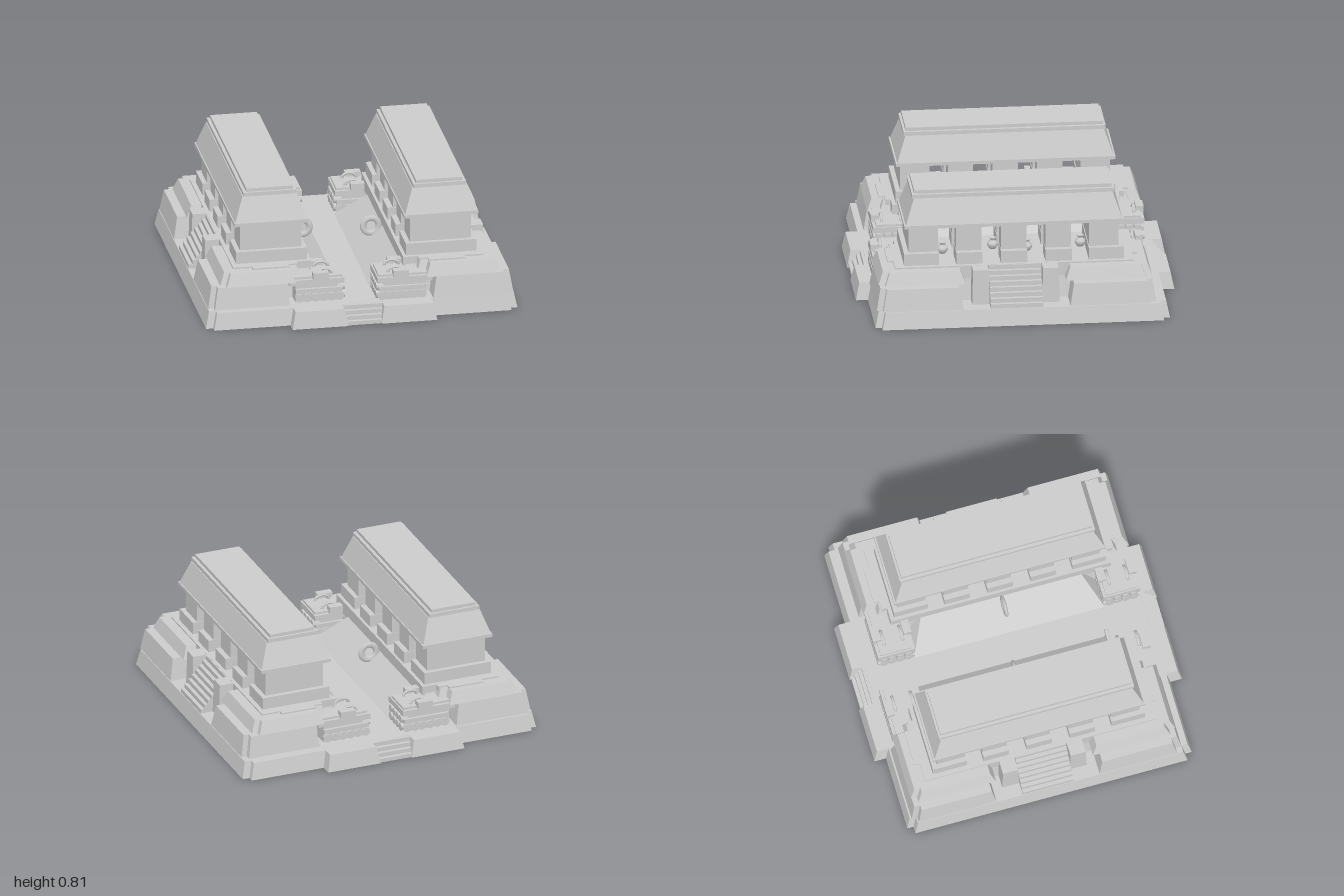
import * as THREE from 'three';
import { ConvexGeometry } from 'three/addons/geometries/ConvexGeometry.js';

const stone = new THREE.MeshStandardMaterial({ color: 0xcccccc, flatShading: true, side: THREE.DoubleSide });
const smooth = new THREE.MeshStandardMaterial({ color: 0xcccccc, side: THREE.DoubleSide });

function add(parent, name, geometry, material = stone) {
  const m = new THREE.Mesh(geometry, material);
  m.name = name;
  parent.add(m);
  return m;
}

// Box given by its extents on each axis
function box(parent, name, x0, x1, y0, y1, z0, z1) {
  const m = add(parent, name, new THREE.BoxGeometry(x1 - x0, y1 - y0, z1 - z0));
  m.position.set((x0 + x1) / 2, (y0 + y1) / 2, (z0 + z1) / 2);
}

function group(parent, name, x = 0, z = 0) {
  const g = new THREE.Group();
  g.name = name;
  g.position.set(x, 0, z);
  parent.add(g);
  return g;
}

// Move every edge of a plan inward by d, with mitred corners
function inset(pts, d) {
  const n = pts.length;
  return pts.map((p, i) => {
    const a = p.clone().sub(pts[(i + n - 1) % n]).normalize();
    const b = pts[(i + 1) % n].clone().sub(p).normalize();
    const na = new THREE.Vector2(-a.y, a.x), nb = new THREE.Vector2(-b.y, b.x);
    return na.clone().add(nb).multiplyScalar(d / (1 + na.dot(nb))).add(p);
  });
}

// Tapered storey over an [x, z] plan; the underside may stay open
function storey(parent, name, plan, y0, y1, taper, closed = true) {
  const low = plan.map(p => new THREE.Vector2(p[0], p[1]));
  if (THREE.ShapeUtils.area(low) < 0) low.reverse();
  const high = inset(low, taper), pos = [];
  const put = (p, y) => pos.push(p.x, y, p.y);
  low.forEach((p, i) => {
    const j = (i + 1) % low.length;
    put(p, y0); put(high[i], y1); put(high[j], y1);
    put(p, y0); put(high[j], y1); put(low[j], y0);
  });
  for (const [a, b, c] of THREE.ShapeUtils.triangulateShape(high, [])) {
    put(high[a], y1); put(high[c], y1); put(high[b], y1);
  }
  if (closed) for (const [a, b, c] of THREE.ShapeUtils.triangulateShape(low, [])) {
    put(low[a], y0); put(low[b], y0); put(low[c], y0);
  }
  const g = new THREE.BufferGeometry();
  g.setAttribute('position', new THREE.Float32BufferAttribute(pos, 3));
  g.computeVertexNormals();
  add(parent, name, g);
}

const rect = (hx, hz) => [[-hx, -hz], [hx, -hz], [hx, hz], [-hx, hz]];
// Complete a plan from its +z half
const mirrorZ = half => [...half, ...half.map(([x, z]) => [x, -z]).reverse()];

// Carved head at the end of the sloping bench, snout toward +x
function carvedHead(parent, z) {
  const head = group(parent, 'carvedHead', 0, z);
  box(head, 'headCore', -0.41, -0.14, 0.11, 0.23, -0.1, 0.1);
  box(head, 'upperJaw', -0.45, -0.1, 0.225, 0.262, -0.12, 0.12);
  box(head, 'brow', -0.43, -0.11, 0.262, 0.276, -0.1, 0.1);
  for (const s of [-1, 1]) {
    // Scalloped lower jaw
    for (let i = 0; i < 6; i++) {
      const c = add(head, 'jawScale', new THREE.CylinderGeometry(0.028, 0.028, 0.04, 10));
      c.rotation.x = Math.PI / 2;
      c.position.set(-0.385 + i * 0.051, 0.14, s * 0.1);
    }
    box(head, 'lip', -0.41, -0.11, 0.17, 0.2, s * 0.1 - 0.018, s * 0.1 + 0.018);
    box(head, 'crest', -0.3, -0.2, 0.26, 0.305, s * 0.1 - 0.025, s * 0.1 + 0.025);
    const arch = add(head, 'browArch', new THREE.TorusGeometry(0.045, 0.011, 6, 10, Math.PI), smooth);
    arch.scale.y = 0.7;
    arch.position.set(-0.22, 0.276, s * 0.06);
  }
  // Teeth across the snout
  for (let row = 0; row < 2; row++) for (let i = 0; i < 4; i++) {
    const t = add(head, 'tooth', new THREE.CylinderGeometry(0.025, 0.025, 0.05, 10));
    t.rotation.z = Math.PI / 2;
    t.position.set(-0.12, 0.14 + row * 0.055, -0.08 + i * 0.053);
  }
}

// Roofed gallery, centred on its own origin
function gallery(parent) {
  const g = group(parent, 'gallery', -0.535);
  for (const s of [-1, 1]) {
    const z = (a, b) => s > 0 ? [a, b] : [-b, -a];
    box(g, 'endBase', -0.225, 0.225, 0.335, 0.415, ...z(0.47, 0.69));
    box(g, 'endWall', -0.195, 0.195, 0.415, 0.59, ...z(0.475, 0.66));
    for (const c of [-0.28, 0, 0.28]) {
      const x0 = s > 0 ? 0.075 : -0.195;
      box(g, 'pier', x0, x0 + 0.12, 0.335, 0.59, c - 0.08, c + 0.08);
      const b0 = s > 0 ? 0.065 : -0.23;
      box(g, 'pierBase', b0, b0 + 0.165, 0.335, 0.415, c - 0.083, c + 0.083);
    }
  }
  storey(g, 'lowerCornice', rect(0.235, 0.69), 0.585, 0.607, 0);
  storey(g, 'slopedRoof', rect(0.228, 0.68), 0.607, 0.765, 0.055);
  storey(g, 'upperCornice', rect(0.168, 0.635), 0.765, 0.79, 0);
  storey(g, 'roofCap', rect(0.148, 0.62), 0.79, 0.812, 0);

  // Jars standing between the piers
  const profile = [[0, 0], [0.02, 0], [0.035, 0.025], [0.032, 0.042], [0.016, 0.055],
    [0.016, 0.063], [0.024, 0.072]].map(p => new THREE.Vector2(...p));
  for (const [x, z] of [[0.02, 0.44], [-0.02, 0.1], [0.03, -0.11], [-0.02, -0.43]]) {
    add(g, 'jar', new THREE.LatheGeometry(profile, 14), smooth).position.set(x, 0.335, z);
  }
}

// Stepped mound with the outer stairway
function mound(parent) {
  const g = group(parent, 'mound');
  storey(g, 'lowerTier', mirrorZ([[-0.8, 0.335], [-0.965, 0.335], [-0.965, 0.84], [-0.93, 0.84],
    [-0.93, 0.878], [-0.45, 0.878], [-0.45, 0.74], [-0.28, 0.74]]), 0.11, 0.25, 0.024);
  storey(g, 'upperTier', mirrorZ([[-0.77, 0.315], [-0.885, 0.315], [-0.885, 0.82], [-0.85, 0.82],
    [-0.85, 0.86], [-0.41, 0.86], [-0.41, 0.79], [-0.36, 0.79], [-0.36, 0.73], [-0.288, 0.73]]),
    0.25, 0.328, 0.03);
  storey(g, 'plinth', mirrorZ([[-0.79, 0.75], [-0.67, 0.75], [-0.67, 0.785], [-0.44, 0.785],
    [-0.44, 0.75], [-0.38, 0.75], [-0.38, 0.715], [-0.288, 0.715]]), 0.25, 0.337, 0);

  // Outer stairway between two flanking blocks
  const n = 8, rise = 0.225 / n;
  for (let i = 0; i < n; i++) {
    box(g, 'outerStep', -0.965 + i * 0.024, -0.75, 0.11 + i * rise, 0.11 + (i + 1) * rise, -0.165, 0.165);
  }
  for (const s of [-1, 1]) {
    storey(g, 'stairBlock', [[-0.885, s * 0.165], [-0.76, s * 0.165], [-0.76, s * 0.275], [-0.885, s * 0.275]],
      0.11, 0.336, 0.006);
  }
}

// One side of the court, built on -x and shifted along z
function courtSide(parent, name, z) {
  const side = group(parent, name, 0, z);
  mound(side);
  gallery(side);
  carvedHead(side, -0.732);
  carvedHead(side, 0.732);

  // Sloping bench with hipped ends
  const bench = [];
  for (const s of [-1, 1]) bench.push(
    new THREE.Vector3(-0.095, 0.11, s * 0.62), new THREE.Vector3(-0.295, 0.11, s * 0.62),
    new THREE.Vector3(-0.295, 0.27, s * 0.52));
  add(side, 'slopingBench', new ConvexGeometry(bench));

  // Goal ring
  const ring = add(side, 'goalRing', new THREE.TorusGeometry(0.05, 0.02, 8, 20), smooth);
  ring.scale.z = 0.6;
  ring.position.set(-0.215, 0.27, 0);
  return side;
}

export function createModel() {
  const model = new THREE.Group();
  model.name = 'ballCourt';

  // Platform with notched corners, end projections and stair openings
  const quarter = [[0.99, 0.885], [0.945, 0.885], [0.945, 0.925], [0.46, 0.925], [0.46, 1], [0.105, 1], [0.105, 0.92]];
  const half = [...quarter, ...quarter.map(([x, z]) => [-x, z]).reverse()];
  storey(model, 'platform', mirrorZ(half), 0, 0.108, 0.022, false);

  // End stairs
  for (const s of [-1, 1]) for (let i = 0; i < 4; i++) {
    const a = s * (0.99 - i * 0.024), b = s * 0.89;
    box(model, 'endStairStep', -0.13, 0.13, 0, 0.027 * (i + 1) - 0.002, Math.min(a, b), Math.max(a, b));
  }

  // Two facing sides, slightly staggered along the court
  courtSide(model, 'rightSide', -0.015);
  courtSide(model, 'leftSide', 0.037).rotation.y = Math.PI;
  return model;
}
